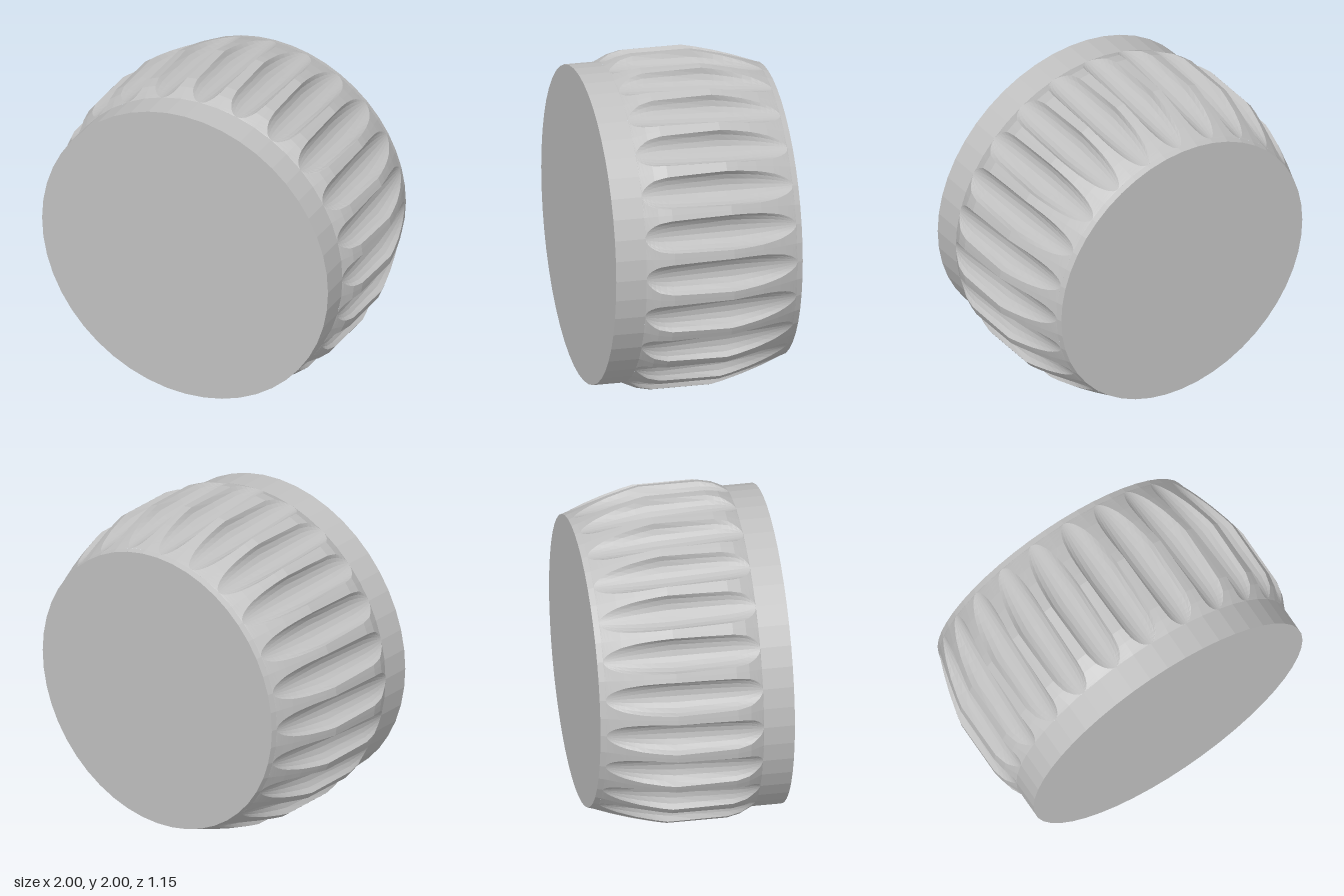
import * as THREE from 'three';

const GROOVES = 24;
const PITCH = (Math.PI * 2) / GROOVES;
const CUTTER = 0.105; // radius of the round groove cutter
const Z_BACK = -0.54, Z_FRONT = 0.39;
const R_BACK = 0.88, R_FRONT = 0.95;

// Barrel outline between the two groove ends: [z, radius]
const OUTLINE = [
  [Z_BACK, R_BACK], [-0.43, 0.922], [-0.32, 0.958], [-0.2, 0.99],
  [-0.13, 1.005], [0.23, 1.005], [0.31, 0.988], [Z_FRONT, R_FRONT],
];

function barrelRadius(z) {
  for (let i = 1; i < OUTLINE.length; i++) {
    const [z0, r0] = OUTLINE[i - 1], [z1, r1] = OUTLINE[i];
    if (z <= z1) return r0 + ((r1 - r0) * (z - z0)) / (z1 - z0);
  }
  return R_FRONT;
}

// Radius of the straight, sloping groove floor
const floorRadius = (z) => R_BACK + ((R_FRONT - R_BACK) * (z - Z_BACK)) / (Z_FRONT - Z_BACK);

// One pitch of the section at z: groove arc from edge to edge, then the middle of the ridge
function pitchSection(z) {
  const r = barrelRadius(z), c = floorRadius(z) + CUTTER;
  const y = (r * r - CUTTER * CUTTER + c * c) / (2 * c);
  const u = Math.sqrt(Math.max(r * r - y * y, 1e-6));
  const phi = Math.atan2(u, c - y);
  const points = [];
  for (let i = 0; i <= 8; i++) {
    const a = phi * (i / 4 - 1);
    points.push([CUTTER * Math.sin(a), c - CUTTER * Math.cos(a)]);
  }
  points.push([r * Math.sin(PITCH / 2), r * Math.cos(PITCH / 2)]);
  return points;
}

// Fluted barrel skinned through sections that are denser at the rounded groove ends
function flutedBarrel() {
  const stations = [Z_BACK, -0.537, -0.53, -0.515, -0.495, -0.465, -0.43, -0.375, -0.32, -0.26,
    -0.2, -0.13, 0.05, 0.23, 0.27, 0.31, 0.335, 0.36, 0.378, 0.387, Z_FRONT];
  const positions = [], index = [];
  let count = 0;
  for (const z of stations) {
    const section = pitchSection(z);
    count = section.length * GROOVES;
    for (let g = 0; g < GROOVES; g++) {
      const s = Math.sin(g * PITCH), c = Math.cos(g * PITCH);
      for (const [x, y] of section) positions.push(x * c + y * s, y * c - x * s, z);
    }
  }
  for (let i = 0; i < stations.length - 1; i++) {
    for (let k = 0; k < count; k++) {
      const n = (k + 1) % count;
      const a = i * count + k, b = i * count + n, c = a + count, d = b + count;
      index.push(a, c, b, b, c, d);
    }
  }
  const geometry = new THREE.BufferGeometry();
  geometry.setAttribute('position', new THREE.Float32BufferAttribute(positions, 3));
  geometry.setIndex(index);
  const flat = geometry.toNonIndexed();
  flat.computeVertexNormals();
  return flat;
}

// Round band along z with optional end caps
function band(zBack, zFront, rBack, rFront) {
  return new THREE.CylinderGeometry(rFront, rBack, zFront - zBack, GROOVES * 2, 1)
    .rotateX(Math.PI / 2)
    .rotateZ(PITCH / 2)
    .translate(0, 0, (zBack + zFront) / 2);
}

export function createModel() {
  const grey = new THREE.MeshStandardMaterial({ color: 0xc0c0c0, flatShading: true });
  grey.name = 'grey';

  const knob = new THREE.Group();
  knob.name = 'knob';
  const add = (name, geometry) => {
    const mesh = new THREE.Mesh(geometry, grey);
    mesh.name = name;
    knob.add(mesh);
  };

  add('flutedBarrel', flutedBarrel());
  add('frontCollar', band(Z_FRONT, 0.575, R_FRONT, R_FRONT));
  add('backRim', band(-0.575, Z_BACK, 0.87, R_BACK));

  knob.position.y = 1;
  const model = new THREE.Group();
  model.name = 'flutedKnob';
  model.add(knob);
  return model;
}
